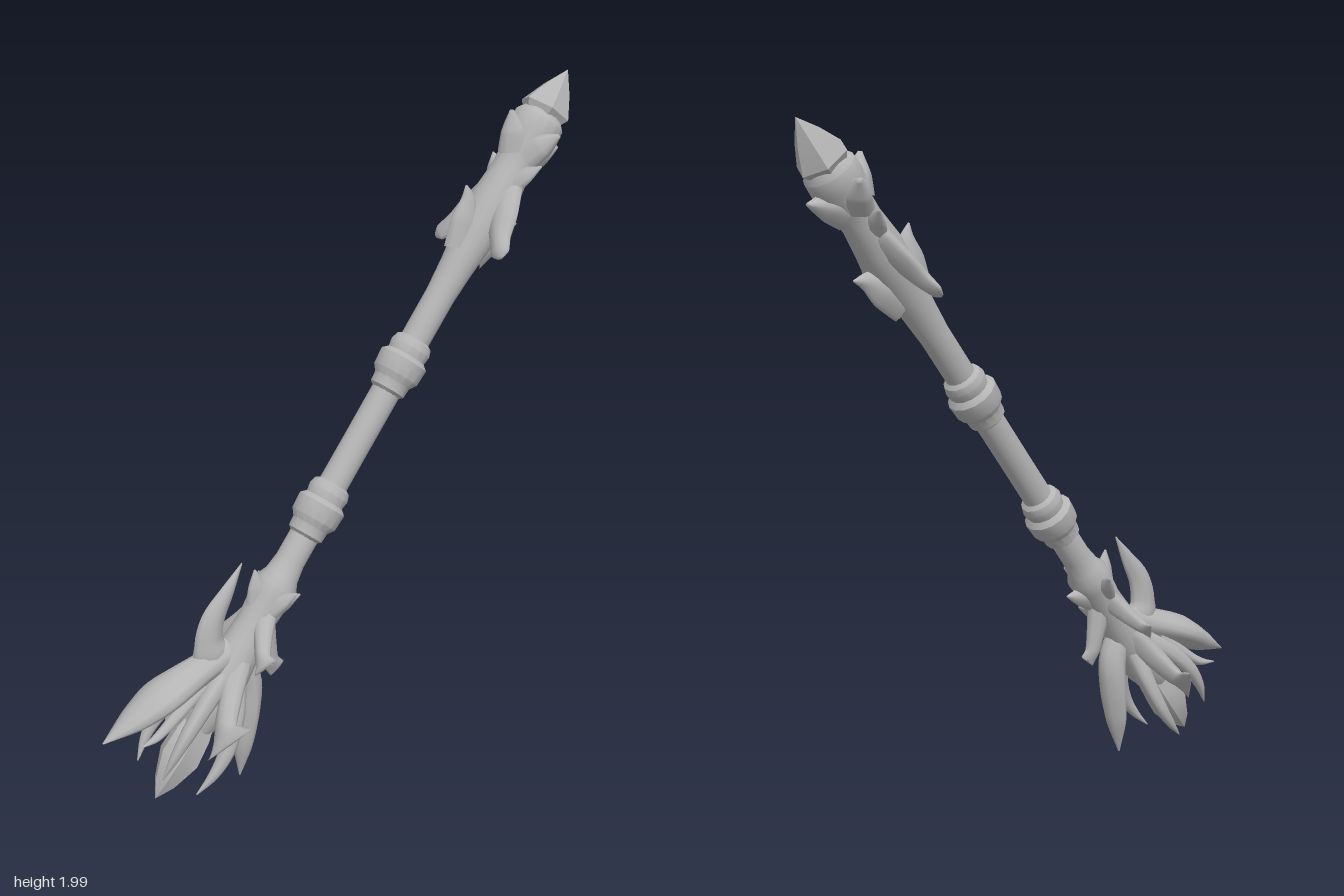
import * as THREE from 'three';
import { toCreasedNormals } from 'three/addons/utils/BufferGeometryUtils.js';

const SIDES = 12, STEPS = 18;

// Horn or blade lofted along a curve. Each row: [along the shaft, out from it, half depth, half width]
function hornGeometry(rows) {
  const path = new THREE.CatmullRomCurve3(rows.map(([s, r]) => new THREE.Vector3(0, s, r)));
  const size = new THREE.CatmullRomCurve3(rows.map(([, , a, b]) => new THREE.Vector3(a, b, 0)));
  const pos = [], index = [];
  for (let i = 0; i <= STEPS; i++) {
    const t = i / STEPS;
    const p = path.getPoint(t), k = size.getPoint(t), d = path.getTangent(t);
    const depth = Math.max(k.x, 0.001), width = Math.max(k.y, 0.001);
    for (let j = 0; j < SIDES; j++) {
      const a = (j / SIDES) * Math.PI * 2;
      // slightly pinched ellipse, giving ridged edges
      const c = Math.sign(Math.cos(a)) * Math.abs(Math.cos(a)) ** 1.3;
      const n = Math.sign(Math.sin(a)) * Math.abs(Math.sin(a)) ** 1.3;
      pos.push(c * width, p.y + n * depth * d.z, p.z - n * depth * d.y);
    }
  }
  for (let i = 0; i < STEPS; i++) {
    for (let j = 0; j < SIDES; j++) {
      const a = i * SIDES + j, b = i * SIDES + ((j + 1) % SIDES);
      index.push(a, b, a + SIDES, b, b + SIDES, a + SIDES);
    }
  }
  // close the outer end
  const last = STEPS * SIDES;
  for (let j = 1; j < SIDES - 1; j++) index.push(last, last + j, last + j + 1);
  const g = new THREE.BufferGeometry();
  g.setAttribute('position', new THREE.Float32BufferAttribute(pos, 3));
  g.setIndex(index);
  g.computeVertexNormals();
  return g;
}

export function createModel() {
  const model = new THREE.Group();
  const staff = new THREE.Group();
  staff.name = 'staff';
  model.add(staff);
  const stone = new THREE.MeshStandardMaterial({ color: 0xb4b4b4 });
  stone.name = 'plain grey';

  const add = (name, geometry, angle = 0) => {
    const m = new THREE.Mesh(geometry, stone);
    m.name = name;
    m.rotation.y = angle;
    staff.add(m);
    return m;
  };
  const lathe = (name, points, sides, crease) =>
    add(name, toCreasedNormals(new THREE.LatheGeometry(points.map(([r, s]) => new THREE.Vector2(r, s)), sides), crease));
  // horns repeated at several angles: 0 is the upper side, PI the underside
  const horns = (name, rows, angles) => {
    const g = hornGeometry(rows);
    angles.forEach((a) => add(name, g, a));
  };
  const UP = [0], DOWN = [Math.PI], FLANKS = [Math.PI / 2, -Math.PI / 2];
  const DIAGONALS = [1, 3, 5, 7].map((i) => (i * Math.PI) / 4);

  // shaft with swollen ends
  lathe('shaft', [
    [0, 0.2], [0.05, 0.24], [0.068, 0.32], [0.07, 0.42], [0.06, 0.52], [0.055, 0.6],
    [0.062, 0.68], [0.066, 0.72], [0.052, 0.75], [0.045, 0.8], [0.044, 1.2],
    [0.045, 1.7], [0.052, 1.8], [0.065, 1.92], [0.07, 2.02], [0.06, 2.12], [0.062, 2.18], [0.08, 2.25],
    [0.078, 2.3], [0.058, 2.325], [0, 2.33],
  ], 16, 0.7);

  // two ridged collars
  for (const s of [0.97, 1.46]) {
    lathe('collar', [
      [0.043, s - 0.09], [0.056, s - 0.08], [0.058, s - 0.05], [0.073, s - 0.03], [0.076, s + 0.02],
      [0.06, s + 0.035], [0.064, s + 0.06], [0.058, s + 0.08], [0.043, s + 0.09],
    ], 14, 0.6);
  }

  // pointed cap at the upper end and faceted crystal at the lower end
  lathe('pointedCap', [[0, 2.3], [0.06, 2.305], [0.08, 2.335], [0.045, 2.405], [0, 2.475]], 6, 0.5);
  lathe('crystal', [[0, 0], [0.035, 0.055], [0.066, 0.14], [0.06, 0.22], [0.04, 0.3], [0, 0.32]], 6, 0.4);

  // lower head: broad leaf blade and back-swept hook above
  horns('upperBlade', [
    [0.48, 0.03, 0.05, 0.04], [0.4, 0.09, 0.05, 0.055], [0.28, 0.17, 0.05, 0.08],
    [0.19, 0.215, 0.037, 0.06], [0.085, 0.272, 0.002, 0.003],
  ], UP);
  horns('upperHook', [
    [0.42, 0.04, 0.05, 0.03], [0.47, 0.11, 0.05, 0.03], [0.54, 0.145, 0.042, 0.025],
    [0.63, 0.15, 0.025, 0.016], [0.725, 0.155, 0.002, 0.002],
  ], UP);
  // small barbs under the leaf blade
  for (const side of [-1, 1]) {
    horns('bladeBarb', [
      [0.36, 0.08, 0.025, 0.025], [0.25, 0.12, 0.02, 0.02], [0.17, 0.155, 0.014, 0.014], [0.13, 0.195, 0.002, 0.002],
    ], [side * 0.3]);
  }

  // crescent blade and blunt prong below
  horns('lowerBlade', [
    [0.48, -0.02, 0.05, 0.04], [0.43, 0.08, 0.05, 0.045], [0.35, 0.14, 0.042, 0.05],
    [0.26, 0.19, 0.034, 0.04], [0.165, 0.245, 0.002, 0.003],
  ], DOWN);
  horns('lowerProng', [
    [0.6, 0.02, 0.05, 0.035], [0.55, 0.08, 0.035, 0.028], [0.51, 0.13, 0.028, 0.02], [0.5, 0.165, 0.03, 0.005],
  ], DOWN);

  // flared axe blades and prongs on both flanks
  horns('flankBlade', [
    [0.45, 0.02, 0.06, 0.045], [0.36, 0.075, 0.042, 0.035], [0.285, 0.12, 0.042, 0.025], [0.253, 0.168, 0.088, 0.004],
  ], FLANKS);
  horns('flankProng', [
    [0.62, 0.02, 0.05, 0.035], [0.56, 0.07, 0.032, 0.028], [0.515, 0.11, 0.028, 0.02], [0.495, 0.14, 0.042, 0.005],
  ], FLANKS);

  // claws curling around the crystal
  horns('claw', [
    [0.42, 0.03, 0.035, 0.035], [0.32, 0.085, 0.03, 0.028], [0.22, 0.115, 0.024, 0.022],
    [0.14, 0.115, 0.015, 0.014], [0.07, 0.1, 0.002, 0.002],
  ], DIAGONALS);

  // thorns on the ring behind the lower head
  horns('ringThorn', [
    [0.66, 0.03, 0.05, 0.03], [0.69, 0.065, 0.03, 0.02], [0.725, 0.1, 0.003, 0.003],
  ], [...UP, ...DOWN, ...FLANKS]);

  // upper head: back-swept flank prongs, ridge spikes and crown
  horns('upperFlankProng', [
    [2.06, 0.03, 0.06, 0.035], [1.98, 0.075, 0.055, 0.03], [1.92, 0.11, 0.038, 0.024],
    [1.88, 0.142, 0.032, 0.015], [1.865, 0.153, 0.01, 0.004],
  ], FLANKS);
  horns('upperRidgeSpike', [
    [1.86, 0.02, 0.07, 0.035], [1.93, 0.06, 0.055, 0.03], [1.98, 0.09, 0.028, 0.018], [2.01, 0.122, 0.003, 0.003],
  ], [...UP, ...DOWN]);
  horns('upperFlankThorn', [
    [2.09, 0.03, 0.05, 0.03], [2.13, 0.075, 0.03, 0.02], [2.165, 0.112, 0.003, 0.003],
  ], FLANKS);
  horns('crownSpike', [
    [2.19, 0.03, 0.06, 0.05], [2.23, 0.07, 0.042, 0.04], [2.27, 0.112, 0.006, 0.008],
  ], [...UP, ...DOWN, ...FLANKS]);

  // lean the whole staff along its diagonal
  const along = new THREE.Vector3(1.17, 1.97, -0.935).normalize();
  const flank = new THREE.Vector3(0.935, 0, 1.17).normalize();
  const upper = new THREE.Vector3().crossVectors(flank, along);
  staff.quaternion.setFromRotationMatrix(new THREE.Matrix4().makeBasis(flank, along, upper));
  staff.position.set(-0.53, 0.03, 0.42);
  return model;
}
